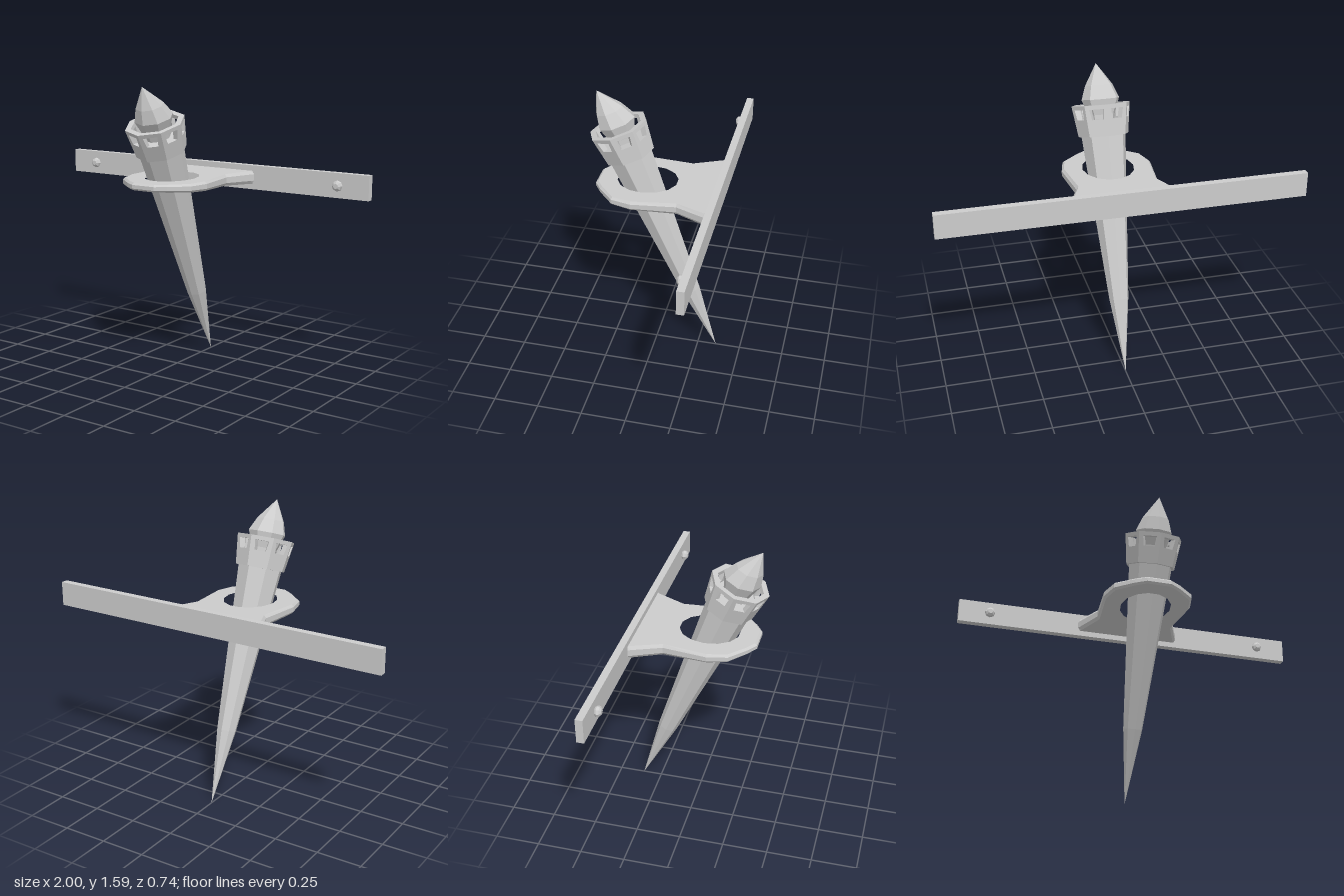
import * as THREE from 'three';

const SIDES = 8;
const material = new THREE.MeshStandardMaterial({ color: 0xcccccc, flatShading: true });

function part(name, geometry, parent) {
  const mesh = new THREE.Mesh(geometry, material);
  mesh.name = name;
  parent.add(mesh);
  return mesh;
}

// Move every vertex by a rule that edits the vector in place
function deform(geometry, rule) {
  const p = geometry.attributes.position;
  const v = new THREE.Vector3();
  for (let i = 0; i < p.count; i++) {
    rule(v.fromBufferAttribute(p, i));
    p.setXYZ(i, v.x, v.y, v.z);
  }
  geometry.computeVertexNormals();
  return geometry;
}

const points = (list) => list.map(([x, y]) => new THREE.Vector2(x, y));
const lean = (y) => 0.04 * y; // slight forward shear of the torch

// Eight-sided turned piece; profile is [radius, height] from bottom to top
const turned = (profile, shift) =>
  deform(new THREE.LatheGeometry(points(profile), SIDES), (v) => { v.z += shift(v.y); });

// One mitred side of the flared collar, with a window near its top
function collarPanel(k) {
  const shape = new THREE.Shape(points([[-1, 0], [1, 0], [1, 1], [-1, 1]]));
  shape.holes.push(new THREE.Path(points([[-0.52, 0.54], [-0.64, 0.87], [0.64, 0.87], [0.52, 0.54]])));
  const geometry = new THREE.ExtrudeGeometry(shape, { depth: 1, bevelEnabled: false });
  const a0 = (k / SIDES) * Math.PI * 2, a1 = ((k + 1) / SIDES) * Math.PI * 2;
  return deform(geometry, (v) => {
    const t = (v.x + 1) / 2;
    const r = (0.141 + 0.024 * v.y) * (0.8 + 0.2 * v.z);
    const y = 1.336 + 0.17 * v.y;
    v.set(
      r * THREE.MathUtils.lerp(Math.sin(a0), Math.sin(a1), t),
      y,
      r * THREE.MathUtils.lerp(Math.cos(a0), Math.cos(a1), t) + lean(y)
    );
  });
}

// Flat arm with a ring opening, thinning towards the front
function holderGeometry() {
  const half = [[0.305, -0.34], [0.29, -0.31], [0.225, -0.155], [0.252, 0.09], [0.225, 0.2], [0.13, 0.285], [0.07, 0.325]];
  const outline = [
    ...half.map(([x, z]) => [x, -z]),
    ...half.slice().reverse().map(([x, z]) => [-x, -z]),
  ];
  const shape = new THREE.Shape(points(outline));
  const hole = [];
  for (let i = 0; i < 14; i++) {
    const a = ((i + 0.5) / 14) * Math.PI * 2;
    hole.push([0.155 * Math.sin(a), -0.05 + 0.18 * Math.cos(a)]);
  }
  shape.holes.push(new THREE.Path(points(hole)));
  const geometry = new THREE.ExtrudeGeometry(shape, {
    depth: 1, bevelThickness: 0.5, bevelSize: 0.012, bevelOffset: -0.012, bevelSegments: 1,
  });
  geometry.translate(0, 0, -0.5).rotateX(-Math.PI / 2);
  return deform(geometry, (v) => {
    const halfThickness = 0.037 - 0.026 * (v.z + 0.33);
    v.y = 1.063 + v.y * halfThickness;
  });
}

export function createModel() {
  const model = new THREE.Group();
  model.name = 'wallTorch';

  // Wall bracket
  const bracket = new THREE.Group();
  bracket.name = 'bracket';
  model.add(bracket);
  part('wallPlate', new THREE.BoxGeometry(2, 0.136, 0.04), bracket).position.set(0, 1.063, -0.348);
  part('holder', holderGeometry(), bracket);
  for (const side of [-1, 1]) {
    const bolt = part(side > 0 ? 'leftBolt' : 'rightBolt',
      new THREE.LatheGeometry(points([[0.022, 0], [0.03, 0.012], [0.027, 0.026], [0.014, 0.036], [0, 0.036]]), 8), bracket);
    bolt.rotation.x = Math.PI / 2;
    bolt.position.set(side * 0.822, 1.063, -0.33);
  }

  // Torch, leaning away from the wall
  const torch = new THREE.Group();
  torch.name = 'torch';
  torch.position.set(0, 0.005, -0.358);
  torch.rotation.x = THREE.MathUtils.degToRad(20);
  model.add(torch);
  part('shaft', turned([[0, 0], [0.055, 0.42], [0.125, 1.338], [0.125, 1.42], [0, 1.42]], lean), torch);

  const collar = new THREE.Group();
  collar.name = 'collar';
  torch.add(collar);
  for (let k = 0; k < SIDES; k++) part('collarPanel', collarPanel(k), collar);

  // Flame, its tip swept forward
  part('flame', turned(
    [[0, 1.41], [0.07, 1.41], [0.075, 1.45], [0.106, 1.535], [0.077, 1.61], [0, 1.729]],
    (y) => 0.058 + 0.042 * Math.max(0, (y - 1.55) / 0.18)), torch);

  return model;
}
